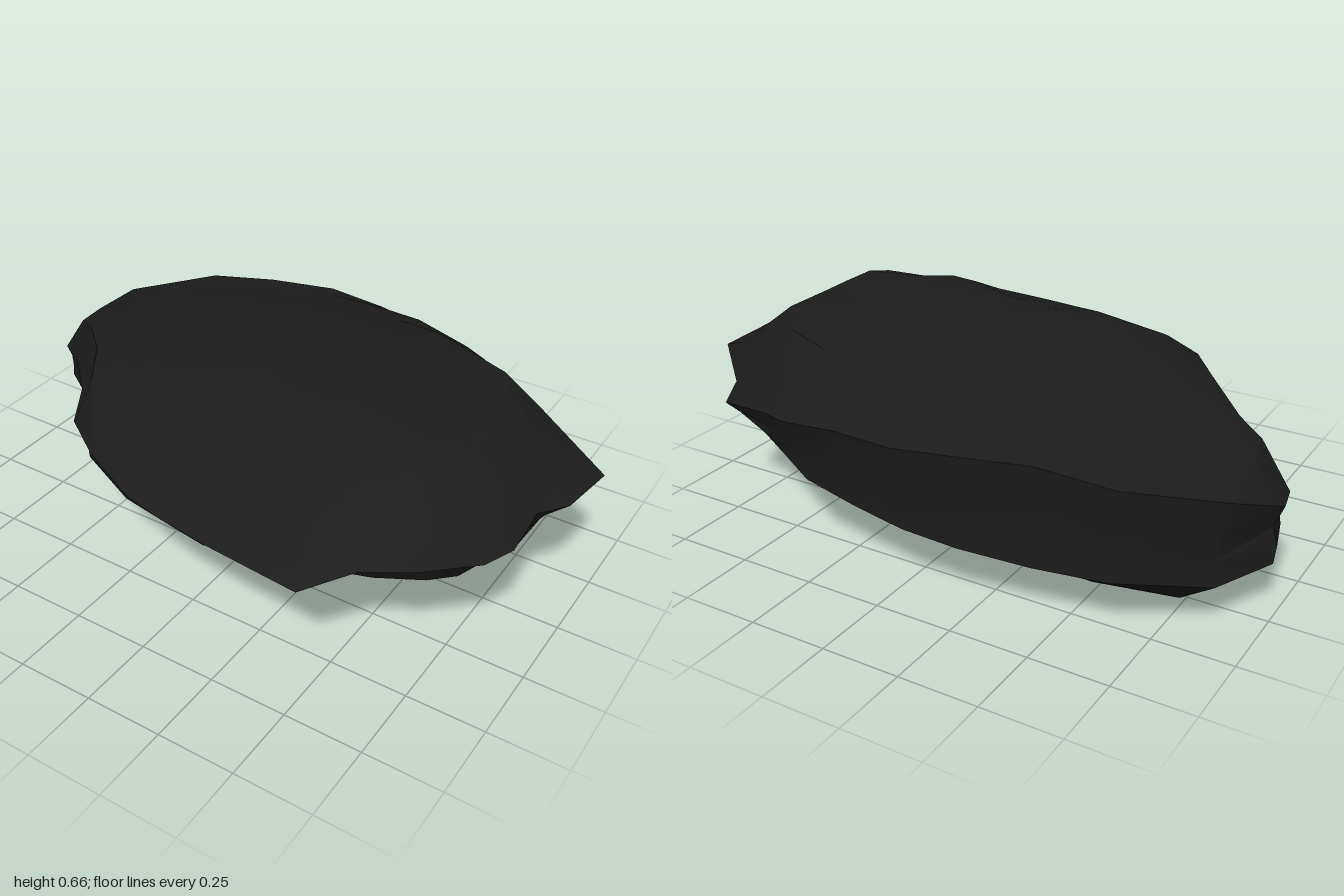
import * as THREE from 'three';
import { toCreasedNormals } from 'three/addons/utils/BufferGeometryUtils.js';

// Rim of the rock: x, z, height of upper edge, height of lower edge, inset of lower edge
const RIM = [
  [-1, -0.2, 0.35, 0.16, 0.98], [-0.92, -0.4, 0.43, 0.15, 0.96], [-0.67, -0.58, 0.48, 0.18, 0.96],
  [-0.44, -0.62, 0.51, 0.18, 0.96], [-0.22, -0.68, 0.51, 0.2, 0.94], [-0.02, -0.69, 0.49, 0.21, 0.93],
  [0.2, -0.655, 0.475, 0.22, 0.93], [0.41, -0.63, 0.445, 0.24, 0.92], [0.56, -0.55, 0.41, 0.25, 0.92],
  [0.81, -0.45, 0.35, 0.28, 0.9], [0.85, -0.35, 0.38, 0.28, 0.9], [1, -0.22, 0.44, 0.29, 0.85],
  [0.98, 0, 0.46, 0.24, 0.85], [0.92, 0.1, 0.47, 0.24, 0.86], [0.93, 0.27, 0.46, 0.25, 0.81],
  [0.89, 0.37, 0.46, 0.25, 0.77], [0.75, 0.5, 0.46, 0.26, 0.74], [0.61, 0.56, 0.44, 0.25, 0.71],
  [0.49, 0.68, 0.4, 0.24, 0.64], [0.17, 0.66, 0.41, 0.2, 0.66], [0, 0.635, 0.41, 0.18, 0.69],
  [-0.15, 0.6, 0.41, 0.2, 0.73], [-0.37, 0.5, 0.42, 0.22, 0.84], [-0.56, 0.36, 0.39, 0.25, 0.94],
  [-0.69, 0.17, 0.37, 0.2, 0.96], [-0.86, 0, 0.34, 0.2, 0.97], [-0.97, -0.07, 0.33, 0.22, 0.98],
];

// Gently tilted upper face, falling off at the front, back, left end and back corner
const topHeight = (x, z) =>
  0.635 + 0.07 * x + 0.1 * z - 0.1 * x * x
  - 0.65 * Math.max(0, z - 0.23) - 0.15 * Math.max(0, -z - 0.4)
  - 0.5 * Math.max(0, x - 0.7 + 0.2 * z) - 0.6 * Math.max(0, x - 1.5 * z - 1.15);
// Shallow keel that rises towards the left side
const bottomHeight = (x, z) =>
  Math.max(0, 0.07 + 0.13 * x + 0.6 * (z + 0.09) ** 2);

// Repeatable roughness from -1 to 1
const rough = (a, b) => {
  const s = Math.sin(a * 12.99 + b * 78.23) * 43758.55;
  return (s - Math.floor(s)) * 2 - 1;
};

function rockGeometry() {
  const mix = THREE.MathUtils.lerp;
  const rings = [];

  // Upper face: scale and how closely each ring follows the face
  for (const [s, k] of [[0.25, 1], [0.5, 1], [0.75, 1], [0.9, 0.86]]) {
    rings.push(RIM.map(([x, z, yU], i) => {
      const r = s + (s > 0.8 ? 0.015 * rough(i, 1) : 0);
      return [x * r, mix(yU, topHeight(x * r, z * r), k), z * r];
    }));
  }
  // Chipped side wall, undercut below the upper edge
  rings.push(RIM.map(([x, z, yU]) => [x, yU, z]));
  for (const t of [0.33, 0.68]) {
    rings.push(RIM.map(([x, z, yU, yL, inset], i) => {
      const r = mix(1, inset, t ** 0.8) - 0.01 + 0.014 * rough(i, t * 9);
      return [x * r, mix(yU, yL, t) + 0.015 * rough(i, t * 5), z * r];
    }));
  }
  rings.push(RIM.map(([x, z, , yL, r]) => [x * r, yL, z * r]));
  // Underside
  for (const [s, k] of [[0.86, 0.7], [0.7, 0.97], [0.45, 1], [0.2, 1]]) {
    rings.push(RIM.map(([x, z, , yL, inset]) => {
      const r = s * inset;
      return [x * r, mix(yL, bottomHeight(x * r, z * r), k), z * r];
    }));
  }

  const n = RIM.length;
  const points = rings.flat();
  const topCentre = points.push([0, topHeight(0, 0), 0]) - 1;
  const bottomCentre = points.push([0, bottomHeight(0, 0), 0]) - 1;
  const last = (rings.length - 1) * n;
  const index = [];
  for (let i = 0; i < n; i++) {
    const j = (i + 1) % n;
    index.push(topCentre, j, i, bottomCentre, last + i, last + j);
    for (let r = 0; r < rings.length - 1; r++) {
      const a = r * n + i, b = r * n + j, c = a + n, d = b + n;
      // Alternate the diagonals so that the chips look irregular
      if (rough(i, r) > 0) index.push(a, b, c, b, d, c);
      else index.push(a, b, d, a, d, c);
    }
  }

  const geometry = new THREE.BufferGeometry();
  geometry.setAttribute('position', new THREE.Float32BufferAttribute(points.flat(), 3));
  geometry.setIndex(index);
  geometry.computeBoundingBox();
  geometry.translate(0, -geometry.boundingBox.min.y, 0);
  return toCreasedNormals(geometry, 0.5);
}

export function createModel() {
  const group = new THREE.Group();
  group.name = 'flatRock';
  const stone = new THREE.MeshStandardMaterial({ color: 0x1c1c1c });
  stone.name = 'dark stone';
  const rock = new THREE.Mesh(rockGeometry(), stone);
  rock.name = 'rock';
  group.add(rock);
  return group;
}
